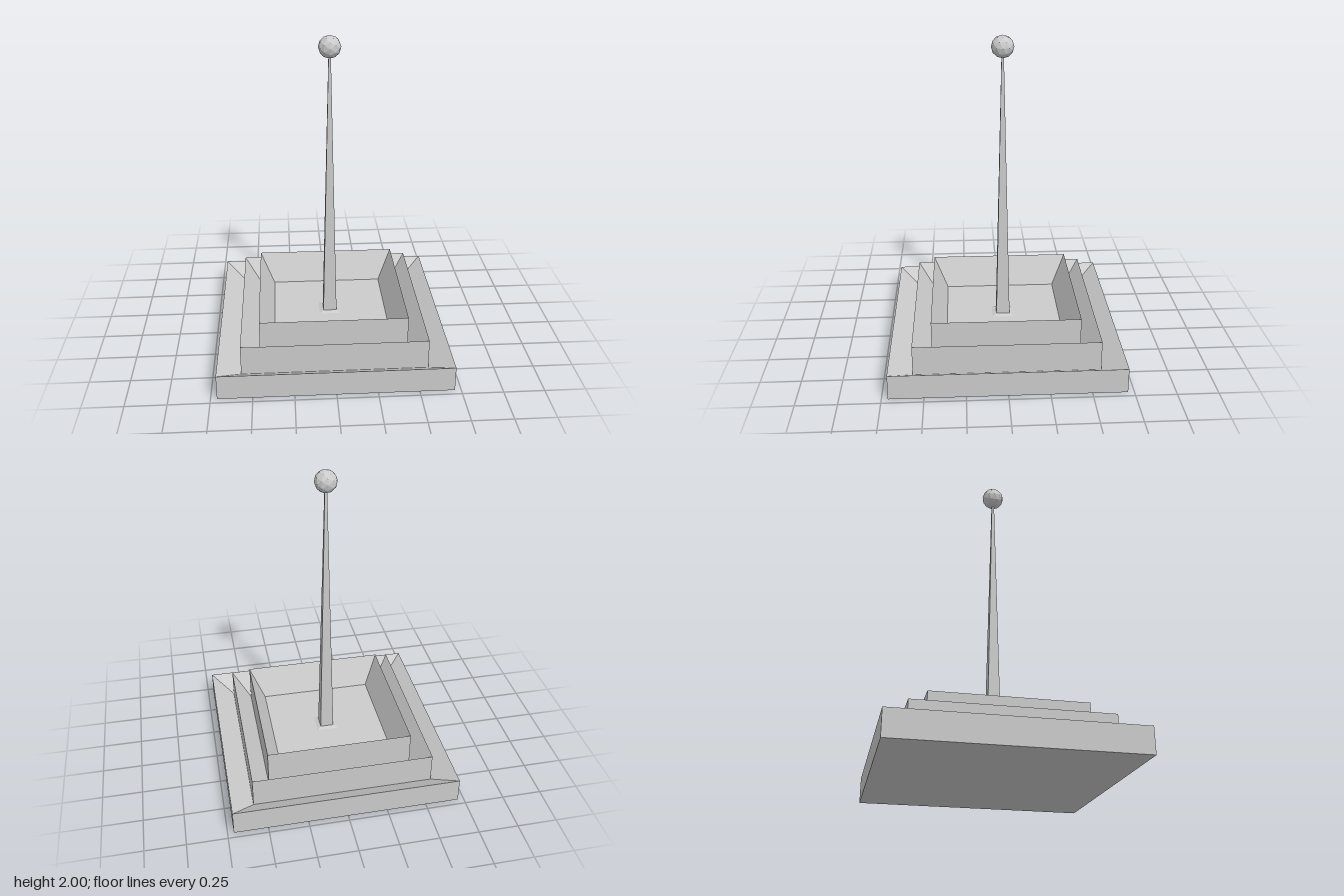
import * as THREE from 'three';

const material = new THREE.MeshStandardMaterial({ color: 0xcccccc, flatShading: true });

// Square-plan solid from a profile of [half width, height] points
function squareProfile(name, profile) {
  const points = profile.map(([half, y]) => new THREE.Vector2(half * Math.SQRT2, y));
  const mesh = new THREE.Mesh(new THREE.LatheGeometry(points, 4, Math.PI / 4), material);
  mesh.name = name;
  return mesh;
}

export function createModel() {
  const group = new THREE.Group();
  group.name = 'steppedSpire';

  // Three tiers, each with a rim sloping down inward to the next
  group.add(
    squareProfile('bottomTier', [[0, 0], [0.712, 0], [0.712, 0.158], [0.571, 0.07]]),
    squareProfile('middleTier', [[0.571, 0.07], [0.571, 0.26], [0.457, 0.114]]),
    squareProfile('topTier', [[0.457, 0.114], [0.457, 0.355], [0.365, 0.167]]),
    squareProfile('sunkenFloor', [[0.365, 0.167], [0.069, 0.167]]),
  );

  // Slender square mast with a shallow flare at its foot
  group.add(squareProfile('mast', [[0.069, 0.167], [0.043, 0.177], [0.007, 1.88], [0, 1.88]]));

  // Faceted ball on the tip
  const ball = new THREE.Mesh(new THREE.IcosahedronGeometry(0.069, 1), material);
  ball.name = 'finialBall';
  ball.position.y = 1.931;
  group.add(ball);

  return group;
}
